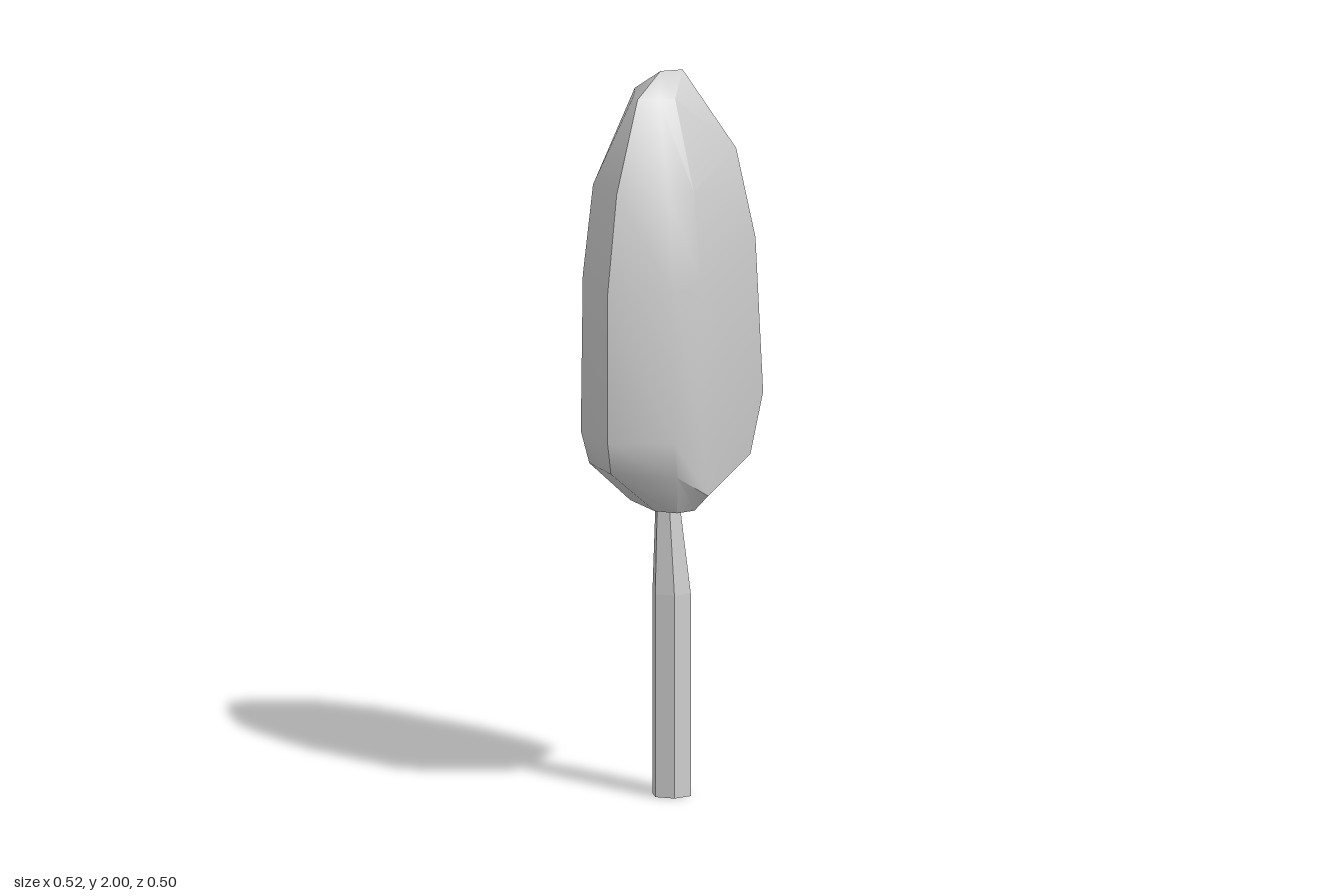
import * as THREE from 'three';
import { toCreasedNormals } from 'three/addons/utils/BufferGeometryUtils.js';

// Cross-sections from bottom to top: base height, then corners [x, z, own height]
// running back, left, front, right.
const sections = [
  { y: 0.82, pts: [[-0.02, -0.06, 0.84], [0.03, -0.06, 0.84], [0.06, -0.02, 0.83], [0.06, 0.08], [0, 0.18, 0.81], [-0.06, 0.18, 0.81], [-0.09, 0.12, 0.81], [-0.08, 0]] },
  { y: 0.93, pts: [[0, -0.22], [0.1, -0.21], [0.23, -0.1], [0.23, 0.13], [0, 0.24, 0.86], [-0.1, 0.235, 0.92], [-0.24, 0.12], [-0.19, -0.04]] },
  { y: 1.02, pts: [[0, -0.25, 0.98], [0.115, -0.235], [0.26, -0.12, 1.06], [0.262, 0.145, 1.1], [-0.03, 0.25], [-0.12, 0.247], [-0.263, 0.135], [-0.215, -0.045]] },
  { y: 1.45, pts: [[0, -0.237], [0.112, -0.225], [0.238, -0.11, 1.53], [0.238, 0.142, 1.53], [-0.03, 0.25], [-0.12, 0.247, 1.43], [-0.263, 0.135, 1.43], [-0.21, -0.043]] },
  { y: 1.7, pts: [[0, -0.18], [0.09, -0.175], [0.185, -0.08, 1.78], [0.185, 0.125, 1.78], [-0.03, 0.215], [-0.11, 0.205], [-0.22, 0.12], [-0.185, -0.03]] },
  { y: 1.94, pts: [[-0.015, -0.065], [0.03, -0.06], [0.075, -0.02, 1.97], [0.06, 0.05, 2], [-0.02, 0.12], [-0.06, 0.1], [-0.11, 0.07], [-0.085, 0.02]] },
];

function loft(rings, bottom, top) {
  const pos = [];
  const tri = (...corners) => corners.forEach((c) => pos.push(...c));
  const n = rings[0].length;
  for (let j = 0; j < n; j++) {
    const k = (j + 1) % n;
    for (let i = 0; i < rings.length - 1; i++) {
      const lo = rings[i], hi = rings[i + 1];
      tri(lo[j], hi[j], hi[k]);
      tri(lo[j], hi[k], lo[k]);
    }
    tri(bottom, rings[0][j], rings[0][k]);
    tri(top, rings.at(-1)[k], rings.at(-1)[j]);
  }
  const g = new THREE.BufferGeometry();
  g.setAttribute('position', new THREE.Float32BufferAttribute(pos, 3));
  return g;
}

export function createModel() {
  const group = new THREE.Group();

  // Foliage: irregular eight-sided crown, soft except along the sharp creases
  const rings = sections.map(({ y, pts }) => pts.map(([x, z, h = y]) => [x, h, z]));
  const crown = toCreasedNormals(loft(rings, [-0.01, 0.82, 0.06], [0, 2, 0.03]), 0.75);
  const foliage = new THREE.Mesh(crown, new THREE.MeshStandardMaterial({ color: 0xcccccc }));
  foliage.name = 'foliage';
  group.add(foliage);

  // Trunk: open six-sided post that narrows and leans slightly at the top
  const post = new THREE.CylinderGeometry(0.056, 0.056, 0.84, 6, 2, true);
  post.rotateY(Math.PI / 6).translate(0, 0.42, 0);
  const p = post.attributes.position;
  for (let i = 0; i < p.count; i++) {
    const y = p.getY(i);
    const level = y < 0.2 ? 0 : y < 0.6 ? 1 : 2;
    const s = level === 2 ? 0.58 : 1;
    const [cx, cz] = level === 2 ? [0.022, 0.03] : [0.03, 0.04];
    p.setXYZ(i, p.getX(i) * s + cx, [0, 0.56, 0.84][level], p.getZ(i) * s + cz);
  }
  const trunk = new THREE.Mesh(post, new THREE.MeshStandardMaterial({
    color: 0xcccccc, flatShading: true, side: THREE.DoubleSide,
  }));
  trunk.name = 'trunk';
  group.add(trunk);

  return group;
}
